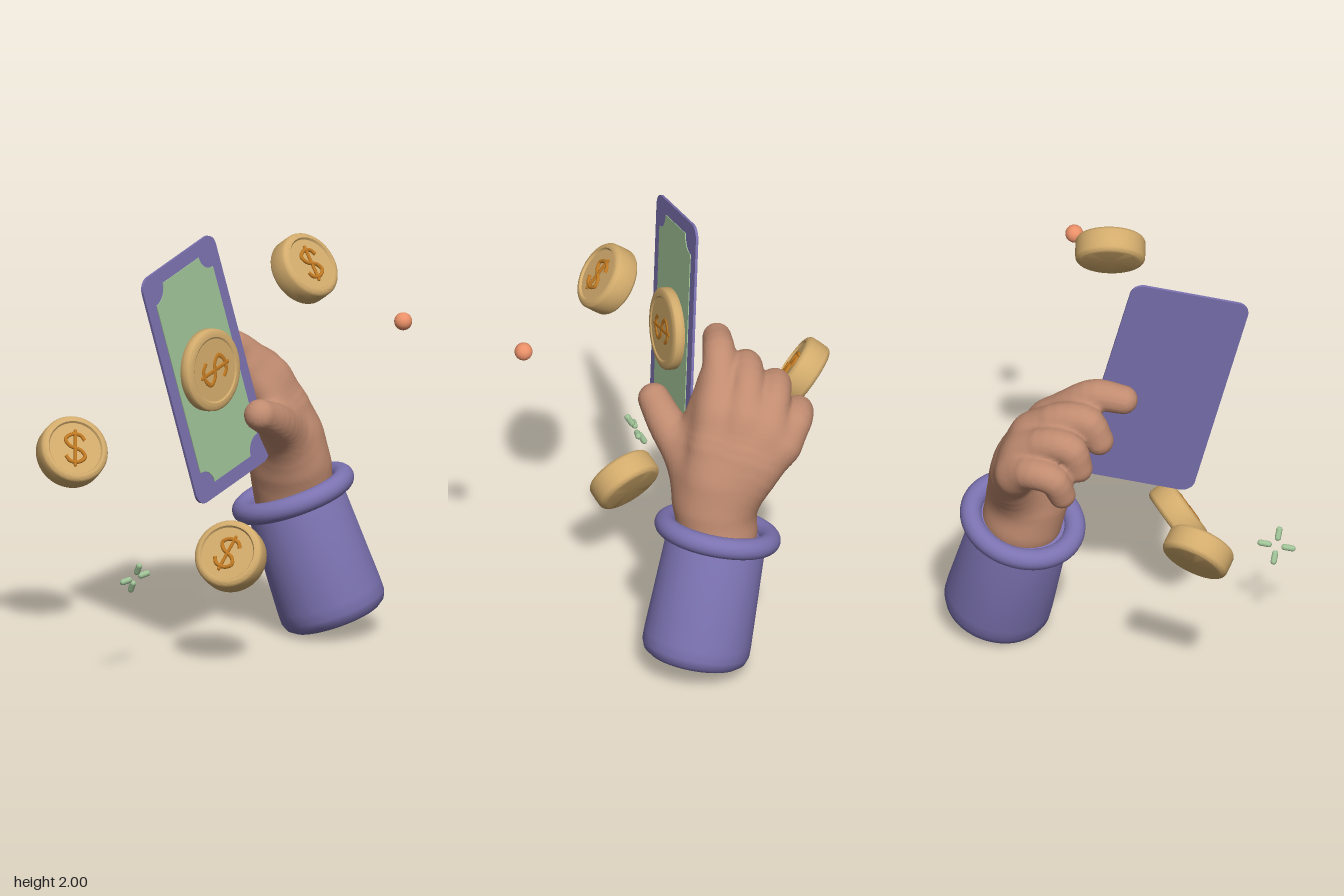
import * as THREE from 'three';
import { toCreasedNormals } from 'three/addons/utils/BufferGeometryUtils.js';

const V = (x, y, z) => new THREE.Vector3(x, y, z);
const paint = (color) => new THREE.MeshStandardMaterial({ color });
const PURPLE = paint(0x7b72b0), GREEN = paint(0xa0c397), SKIN = paint(0xc08b70);
const GOLD = paint(0xd2ab6c), ORANGE = paint(0xc27a22), CORAL = paint(0xea9068);

function mesh(name, geometry, material, parent) {
  const m = new THREE.Mesh(geometry, material);
  m.name = name;
  parent.add(m);
  return m;
}

function group(name, parent) {
  const g = new THREE.Group();
  g.name = name;
  parent.add(g);
  return g;
}

// Puts an object at pos with its +z along normal and its +y as near to up as possible
function place(object, pos, normal, up = V(0, 1, 0), roll = 0) {
  const z = normal.clone().normalize();
  const x = up.clone().cross(z).normalize();
  const y = z.clone().cross(x);
  object.position.copy(pos);
  object.quaternion.setFromRotationMatrix(new THREE.Matrix4().makeBasis(x, y, z));
  object.rotateZ(roll);
}

// Distance function of a round limb through points [x, y, z, radius]
function limb(points) {
  const curve = new THREE.CatmullRomCurve3(points.map((p) => V(p[0], p[1], p[2])));
  const steps = 10, last = points.length - 1;
  const nodes = Array.from({ length: steps + 1 }, (_, i) => {
    const t = i / steps, s = Math.min(Math.floor(t * last), last - 1);
    return { p: curve.getPoint(t), r: THREE.MathUtils.lerp(points[s][3], points[s + 1][3], t * last - s) };
  });
  return (x, y, z) => {
    let best = Infinity;
    for (let i = 0; i < steps; i++) {
      const a = nodes[i].p, b = nodes[i + 1].p;
      const dx = b.x - a.x, dy = b.y - a.y, dz = b.z - a.z;
      const t = ((x - a.x) * dx + (y - a.y) * dy + (z - a.z) * dz) / (dx * dx + dy * dy + dz * dz);
      const h = Math.min(1, Math.max(0, t));
      const d = Math.hypot(x - a.x - dx * h, y - a.y - dy * h, z - a.z - dz * h);
      best = Math.min(best, d - nodes[i].r - (nodes[i + 1].r - nodes[i].r) * h);
    }
    return best;
  };
}

// Minimum with a soft fillet of width k
function blend(a, b, k) {
  const h = Math.max(k - Math.abs(a - b), 0) / k;
  return Math.min(a, b) - h * h * k / 4;
}

// Smooth surface where the distance field is zero: one vertex per crossed cell, one quad per crossed edge
function fieldSurface(field, min, max, cell) {
  const n = [0, 1, 2].map((d) => Math.ceil((max[d] - min[d]) / cell));
  const step = [1, n[0], n[0] * n[1]];
  const values = new Float32Array(n[0] * n[1] * n[2]);
  const coords = (id) => [id % n[0], Math.floor(id / n[0]) % n[1], Math.floor(id / step[2])];
  for (let id = 0; id < values.length; id++) {
    const [x, y, z] = coords(id).map((c, d) => min[d] + c * cell);
    values[id] = field(x, y, z);
  }
  const points = [], index = [], vertexOf = new Map();
  for (let id = 0; id < values.length - step[2] - step[1] - 1; id++) {
    const sum = [0, 0, 0];
    let hits = 0;
    for (let d = 0; d < 3; d++) {
      const u = (d + 1) % 3, v = (d + 2) % 3;
      for (let c = 0; c < 4; c++) {
        const du = c & 1, dv = c >> 1, low = id + du * step[u] + dv * step[v];
        const a = values[low], b = values[low + step[d]];
        if ((a < 0) === (b < 0)) continue;
        sum[d] += a / (a - b);
        sum[u] += du;
        sum[v] += dv;
        hits++;
      }
    }
    if (!hits) continue;
    vertexOf.set(id, points.length);
    points.push(V(...coords(id).map((c, d) => min[d] + (c + sum[d] / hits) * cell)));
  }
  for (const id of vertexOf.keys()) {
    for (let d = 0; d < 3; d++) {
      if ((values[id] < 0) === (values[id + step[d]] < 0)) continue;
      const u = step[(d + 1) % 3], v = step[(d + 2) % 3];
      const quad = [id - u - v, id - v, id, id - u].map((q) => vertexOf.get(q));
      if (values[id] >= 0) quad.reverse();
      index.push(quad[0], quad[1], quad[2], quad[0], quad[2], quad[3]);
    }
  }
  const g = new THREE.BufferGeometry().setFromPoints(points);
  g.setIndex(index);
  g.computeVertexNormals();
  return g;
}

function makeHand(parent) {
  // Wrist, palm bones, web and thumb melt together softly
  const palm = [
    [[0.425, 0.66, -0.13, 0.183], [0.403, 0.77, -0.125, 0.186], [0.39, 0.9, -0.135, 0.17]],
    [[0.4, 0.8, -0.09, 0.12], [0.36, 1.06, -0.12, 0.12], [0.29, 1.21, -0.15, 0.09]],
    [[0.41, 0.8, -0.11, 0.13], [0.415, 1.05, -0.21, 0.115], [0.355, 1.21, -0.265, 0.09]],
    [[0.42, 0.8, -0.13, 0.12], [0.435, 1.03, -0.29, 0.105], [0.38, 1.17, -0.365, 0.085]],
    [[0.43, 0.8, -0.16, 0.12], [0.44, 0.98, -0.335, 0.09], [0.41, 1.08, -0.42, 0.08]],
    [[0.27, 1.05, -0.06, 0.08], [0.22, 1.16, -0.09, 0.075], [0.165, 1.27, -0.145, 0.07]],
    [[0.34, 0.83, -0.07, 0.125], [0.25, 0.98, -0.01, 0.105], [0.14, 1.07, 0.06, 0.086], [0.02, 1.13, 0.1, 0.073]],
  ].map(limb);
  // Index, middle, ring and little fingers curl behind the note
  const fingers = [
    [[0.3, 1.21, -0.15, 0.088], [0.2, 1.315, -0.175, 0.08], [0.08, 1.395, -0.19, 0.075], [-0.05, 1.39, -0.2, 0.066]],
    [[0.36, 1.2, -0.265, 0.088], [0.24, 1.31, -0.295, 0.081], [0.1, 1.325, -0.31, 0.075], [0.045, 1.23, -0.31, 0.067]],
    [[0.39, 1.15, -0.365, 0.085], [0.28, 1.25, -0.41, 0.079], [0.16, 1.25, -0.435, 0.075], [0.122, 1.15, -0.43, 0.066]],
    [[0.41, 1.08, -0.43, 0.08], [0.33, 1.15, -0.505, 0.074], [0.225, 1.14, -0.53, 0.07], [0.185, 1.05, -0.51, 0.062]],
  ].map(limb);
  const field = (x, y, z) => {
    const join = (limbs, k) => limbs.reduce((d, f) => blend(d, f(x, y, z), k), 9);
    return blend(join(palm, 0.06), join(fingers, 0.025), 0.06);
  };
  mesh('hand', fieldSurface(field, [-0.16, 0.44, -0.65], [0.66, 1.53, 0.22], 0.0125), SKIN, parent);
}

// Raised currency sign: an S-shaped tube with a bar through it
function addSign(parent, z) {
  const s = [[0.045, 0.04], [0.024, 0.064], [-0.02, 0.064], [-0.046, 0.038], [-0.028, 0.01]];
  const points = [...s, ...s.map(([x, y]) => [-x, -y]).reverse()];
  const curve = new THREE.CatmullRomCurve3(points.map(([x, y]) => V(x, y, z)));
  mesh('signCurve', new THREE.TubeGeometry(curve, 60, 0.009, 8), ORANGE, parent);
  mesh('signBar', new THREE.CapsuleGeometry(0.008, 0.165, 4, 8), ORANGE, parent).position.z = z;
}

function lathe(profile, crease) {
  const points = profile.map(([x, y]) => new THREE.Vector2(x, y));
  return toCreasedNormals(new THREE.LatheGeometry(points, 56), crease);
}

// Coin with rounded edges and a recessed front face
function makeCoin(name, parent) {
  const coin = group(name, parent);
  const R = 0.16, h = 0.062, r = 0.03;
  const profile = [[0, -h]];
  for (let i = 0; i <= 12; i++) {
    const a = -Math.PI / 2 + (i / 12) * Math.PI;
    profile.push([R - r + r * Math.cos(a), Math.sign(Math.sin(a)) * (h - r) + r * Math.sin(a)]);
  }
  profile.push([0.128, h], [0.122, h - 0.01], [0, h - 0.01]);
  mesh('coinBody', lathe(profile, 0.6).rotateX(Math.PI / 2), GOLD, coin);
  addSign(coin, h - 0.006);
  return coin;
}

// Extruded rectangle whose corners are rounded outward or scooped inward
function plate(w, h, r, scooped, depth) {
  const shape = new THREE.Shape();
  [[w, -h], [w, h], [-w, h], [-w, -h]].forEach(([x, y], i) => {
    const a = i * Math.PI / 2;
    if (scooped) shape.absarc(x, y, r, a + Math.PI, a + Math.PI / 2, true);
    else shape.absarc(x - Math.sign(x) * r, y - Math.sign(y) * r, r, a - Math.PI / 2, a, false);
  });
  return new THREE.ExtrudeGeometry(shape, { depth, bevelEnabled: false, curveSegments: 10 });
}

function makeBanknote(parent) {
  const note = group('banknote', parent);
  mesh('noteBorder', plate(0.276, 0.565, 0.06, false, 0.012), PURPLE, note).position.z = -0.006;
  mesh('notePanel', plate(0.215, 0.498, 0.078, true, 0.006), GREEN, note).position.z = 0.004;
  // Coin emblem lying sideways in the middle
  const emblem = makeCoin('noteEmblem', note);
  emblem.scale.set(1.18, 1.18, 0.5);
  emblem.position.z = 0.03;
  emblem.rotation.z = Math.PI / 2;
  place(note, V(-0.203, 1.358, -0.024), V(0.165, 0.118, 1), V(-0.28, 1.07, -0.08));
}

function makeSleeve(parent) {
  const sleeve = group('sleeve', parent);
  const profile = [[0, 0], [0.165, 0.004], [0.207, 0.014], [0.234, 0.034], [0.247, 0.068],
    [0.247, 0.12], [0.227, 0.6], [0.218, 0.63], [0, 0.63]];
  mesh('sleeveBody', lathe(profile, 0.7), PURPLE, sleeve);
  const cuff = mesh('cuff', new THREE.TorusGeometry(0.242, 0.049, 20, 64), PURPLE, sleeve);
  cuff.rotation.x = Math.PI / 2;
  cuff.position.y = 0.626;
  sleeve.position.set(0.574, 0.056, 0.003);
  sleeve.quaternion.setFromUnitVectors(V(0, 1, 0), V(-0.146, 0.575, -0.131).normalize());
}

function makeSparkle(parent) {
  const sparkle = group('sparkle', parent);
  for (let i = 0; i < 4; i++) {
    const a = i * Math.PI / 2;
    const ray = mesh('sparkleRay', new THREE.CapsuleGeometry(0.014, 0.038, 6, 12), GREEN, sparkle);
    ray.position.set(-Math.sin(a) * 0.055, Math.cos(a) * 0.055, 0);
    ray.rotation.z = a;
  }
  place(sparkle, V(-0.713, 0.486, 0.073), V(0.06, -0.495, 0.86), V(-0.1, 0.86, 0.5));
}

export function createModel() {
  const model = new THREE.Group();
  model.name = 'handHoldingMoney';
  makeBanknote(model);
  makeSleeve(model);
  makeHand(model);
  makeSparkle(model);
  // Floating coins: position, facing, roll
  const coins = [
    ['upperCoin', V(0.09, 1.85, 0.325), V(0.1, 0.58, 0.8), -0.05],
    ['rearCoin', V(-0.463, 0.893, -0.647), V(-0.3, 0.55, 0.78), -0.2],
    ['lowerCoin', V(-0.242, 0.53, 0.197), V(-0.75, 0.5, 0.43), -0.35],
  ];
  for (const [name, pos, normal, roll] of coins) place(makeCoin(name, model), pos, normal, undefined, roll);
  mesh('ball', new THREE.SphereGeometry(0.041, 32, 20), CORAL, model).position.set(0.32, 1.645, 0.745);
  return model;
}
